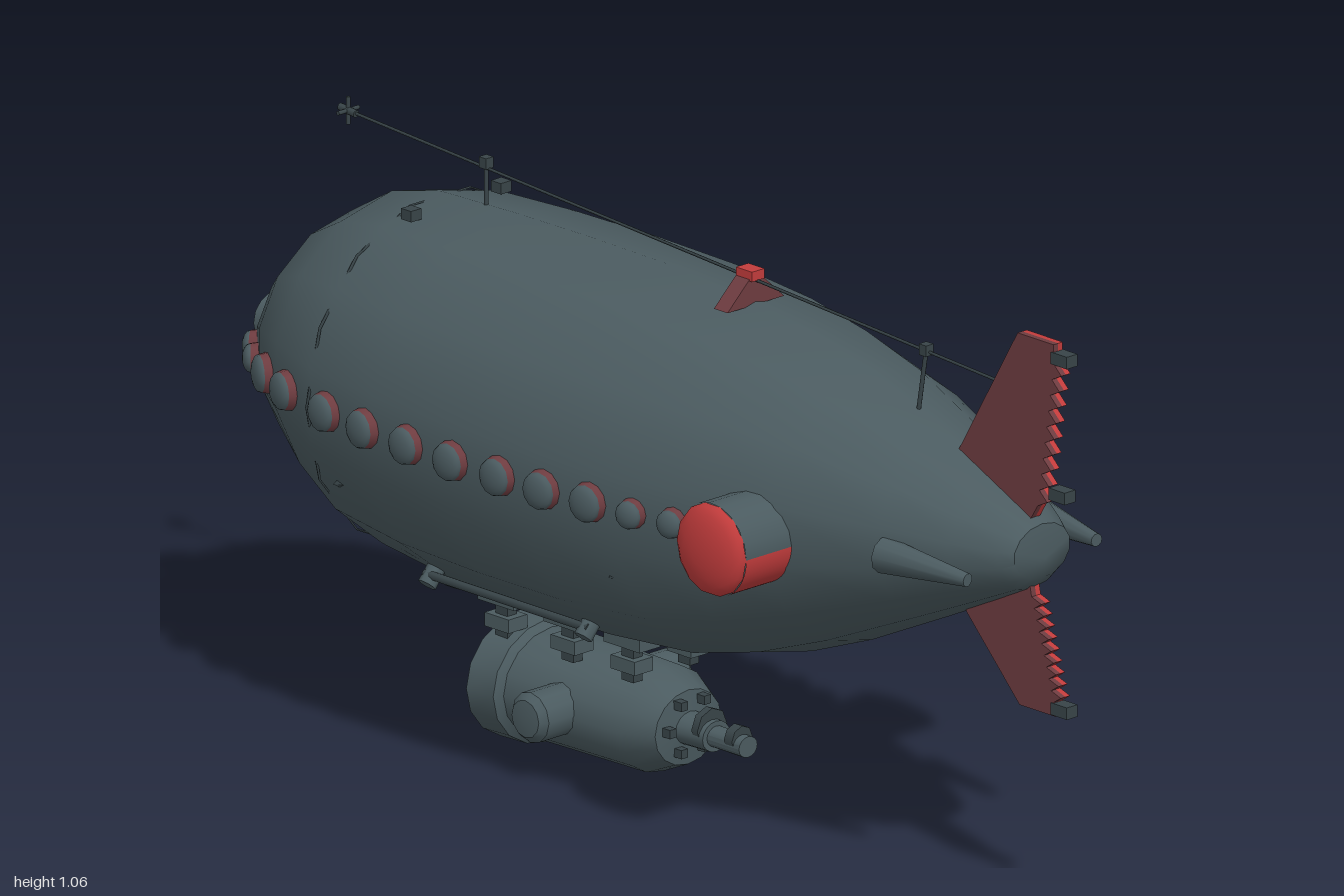
import * as THREE from 'three';
import { toCreasedNormals } from 'three/addons/utils/BufferGeometryUtils.js';

const mat = (name, color) => {
  const m = new THREE.MeshStandardMaterial({ color });
  m.name = name;
  return m;
};
const V = (x, y, z) => new THREE.Vector3(x, y, z);

// hull stations: x, top y, bottom y, half width
const STATIONS = [
  [-0.915, 0.68, 0.55, 0.07], [-0.9, 0.73, 0.52, 0.125], [-0.86, 0.79, 0.475, 0.175],
  [-0.8, 0.855, 0.43, 0.23], [-0.7, 0.915, 0.365, 0.285], [-0.58, 0.944, 0.3, 0.322],
  [-0.4, 0.95, 0.282, 0.345], [-0.2, 0.952, 0.278, 0.354], [0, 0.95, 0.278, 0.35],
  [0.2, 0.937, 0.292, 0.33], [0.35, 0.915, 0.33, 0.3], [0.5, 0.882, 0.388, 0.258],
  [0.7, 0.812, 0.482, 0.185], [0.82, 0.757, 0.54, 0.128], [0.9, 0.72, 0.58, 0.085],
  [0.925, 0.705, 0.605, 0.068],
];
const SIDES = 14;

// interpolated hull station at x
function hullAt(x) {
  let i = 0;
  while (i < STATIONS.length - 2 && STATIONS[i + 1][0] < x) i++;
  const a = STATIONS[i], b = STATIONS[i + 1];
  const t = (x - a[0]) / (b[0] - a[0]);
  const [, top, bottom, w] = a.map((v, k) => v + (b[k] - v) * t);
  return { top, bottom, w: w * 0.975, slope: (b[3] - a[3]) / (b[0] - a[0]) };
}

function hullGeometry() {
  const pos = [], idx = [];
  for (const [x, top, bottom, w] of STATIONS) {
    for (let j = 0; j < SIDES; j++) {
      const a = Math.PI / 2 + (j / SIDES) * Math.PI * 2;
      pos.push(x, (top + bottom) / 2 + Math.sin(a) * (top - bottom) / 2, Math.cos(a) * w);
    }
  }
  const last = STATIONS.length - 1;
  for (let i = 0; i < last; i++) {
    for (let j = 0; j < SIDES; j++) {
      const a = i * SIDES + j, b = i * SIDES + (j + 1) % SIDES;
      idx.push(a, a + SIDES, b, b, a + SIDES, b + SIDES);
    }
  }
  // end caps
  const nose = pos.length / 3;
  pos.push(-0.92, 0.615, 0, 0.935, 0.645, 0);
  for (let j = 0; j < SIDES; j++) {
    const k = (j + 1) % SIDES;
    idx.push(nose, j, k, nose + 1, last * SIDES + k, last * SIDES + j);
  }
  const g = new THREE.BufferGeometry();
  g.setAttribute('position', new THREE.Float32BufferAttribute(pos, 3));
  g.setIndex(idx);
  return toCreasedNormals(g, 0.8);
}

// lathe around the x axis; profile is [x, radius]
function latheX(profile, sides) {
  const g = new THREE.LatheGeometry(profile.map(([x, r]) => new THREE.Vector2(r, x)), sides);
  return toCreasedNormals(g.rotateZ(-Math.PI / 2), 0.6);
}

export function createModel() {
  const root = new THREE.Group();
  root.name = 'airship';
  const grey = mat('hull grey', 0x4b5b60);
  const dark = mat('dark metal', 0x384448);
  const red = mat('signal red', 0xc23c3c);
  const maroon = mat('dull red', 0x6e3c40);

  const add = (name, geo, m, x = 0, y = 0, z = 0, parent = root) => {
    const mesh = new THREE.Mesh(geo, m);
    mesh.name = name;
    mesh.position.set(x, y, z);
    parent.add(mesh);
    return mesh;
  };
  const rod = (name, a, b, r0, m = dark, r1 = r0, sides = 8) => {
    const d = b.clone().sub(a), mid = a.clone().add(b).multiplyScalar(0.5);
    const mesh = add(name, new THREE.CylinderGeometry(r1, r0, d.length(), sides), m, mid.x, mid.y, mid.z);
    mesh.quaternion.setFromUnitVectors(V(0, 1, 0), d.normalize());
    return mesh;
  };
  const box = (name, sx, sy, sz, x, y, z, m = dark) =>
    add(name, new THREE.BoxGeometry(sx, sy, sz), m, x, y, z);

  // hull and nose
  add('hull', hullGeometry(), grey);
  add('noseStub', latheX([[-1, 0], [-1, 0.035], [-0.998, 0.047], [-0.9, 0.047]], 14), grey, 0, 0.61, 0);
  rod('noseProbe', V(-0.9, 0.62, -0.21), V(-0.8, 0.62, -0.21), 0.005);

  // portholes along both sides
  const ports = [-0.87, -0.82, -0.75, -0.66, -0.53, -0.42, -0.305, -0.19, -0.075, 0.03, 0.135, 0.23, 0.315];
  const rim = new THREE.CylinderGeometry(0.036, 0.041, 0.024, 12, 1, true).rotateX(Math.PI / 2);
  const glass = new THREE.SphereGeometry(0.036, 12, 4, 0, Math.PI * 2, 0, Math.PI / 2).rotateX(Math.PI / 2);
  for (const side of [1, -1]) {
    for (const x of ports) {
      const h = hullAt(x), g = new THREE.Group();
      g.name = 'porthole';
      g.position.set(x, 0.628, side * h.w);
      const tilt = Math.atan(h.slope);
      g.rotation.y = side > 0 ? -tilt : Math.PI + tilt;
      const s = x > 0.2 || x < -0.8 ? 0.72 : 0.95;
      g.scale.set(s, s, 1);
      add('portholeRim', rim, maroon, 0, 0, 0.002, g);
      add('portholeGlass', glass, grey, 0, 0, 0.014, g).scale.z = 0.4;
      root.add(g);
    }

    // side engine pods
    const pod = new THREE.Group();
    pod.name = 'enginePod';
    pod.position.set(0.46, 0.625, 0);
    pod.scale.z = side;
    const shell = (name, m, start, len) => add(name,
      new THREE.CylinderGeometry(0.084, 0.084, 0.15, 14, 1, true, start, len).rotateX(Math.PI / 2),
      m, 0, 0, 0.27, pod);
    shell('podShell', grey, Math.PI / 2, Math.PI * 1.5);
    shell('podLowerShell', red, 0, Math.PI / 2);
    const cap = new THREE.SphereGeometry(0.084, 14, 5, 0, Math.PI * 2, 0, Math.PI / 2).rotateX(Math.PI / 2);
    add('podCap', cap, red, 0, 0, 0.345, pod).scale.z = 0.35;
    root.add(pod);

    // side tail cones
    rod('tailCone', V(0.71, 0.637, side * 0.175), V(0.9, 0.632, side * 0.155), 0.033, grey, 0.012, 10);

    // small hull fittings
    box('roofLug', 0.025, 0.02, 0.025, -0.54, hullAt(-0.54).top - 0.008, side * 0.108);
    for (const [x, y, z] of [[-0.52, 0.83, 0.232], [0.17, 0.89, 0.15], [-0.52, 0.49, 0.288], [0.17, 0.49, 0.29]])
      add('hullStud', new THREE.ConeGeometry(0.015, 0.025, 3).rotateZ(-Math.PI / 2), dark, x, y, side * z);

    // lower rail
    rod('lowerRail', V(-0.41, 0.333, side * 0.2), V(0, 0.333, side * 0.2), 0.008);
    for (const x of [-0.4, -0.01])
      rod('railMount', V(x, 0.315, side * 0.205), V(x, 0.35, side * 0.175), 0.017, grey);
    box('chinBlock', 0.04, 0.03, 0.03, -0.66, 0.365, side * 0.1, grey);
    rod('chinPost', V(-0.57, 0.285, side * 0.04), V(-0.57, 0.33, side * 0.04), 0.008);
  }

  // seam band
  const bandStation = hullAt(-0.58);
  const band = add('seamBand', new THREE.TorusGeometry(1, 0.006, 4, SIDES).rotateY(Math.PI / 2), dark,
    -0.58, (bandStation.top + bandStation.bottom) / 2, 0);
  band.scale.set(0.6, (bandStation.top - bandStation.bottom) / 2 - 0.002, 0.321);
  band.rotation.x = Math.PI / 2 - Math.PI / 2;

  // tail fins with toothed trailing edges
  const fin = (name, lead, a, b) => {
    const pts = lead.map(([x, y]) => new THREE.Vector2(x, y));
    const n = 9;
    for (let i = 0; i < n; i++) {
      const at = (t) => [a[0] + (b[0] - a[0]) * t, a[1] + (b[1] - a[1]) * t];
      const p = at(i / n), q = at((i + 0.6) / n);
      pts.push(new THREE.Vector2(...p), new THREE.Vector2(q[0] + 0.022, q[1]));
    }
    pts.push(new THREE.Vector2(...b));
    const geo = new THREE.ExtrudeGeometry(new THREE.Shape(pts), { depth: 0.011, bevelEnabled: false });
    add(name + 'FrontSkin', geo, maroon);
    add(name + 'BackSkin', geo, red, 0, 0, -0.011);
  };
  fin('upperFin', [[0.9, 0.7], [0.69, 0.74], [0.71, 0.765], [0.875, 1.045], [0.965, 1.045]], [0.965, 1.01], [0.925, 0.74]);
  fin('lowerFin', [[0.9, 0.62], [0.72, 0.54], [0.75, 0.5], [0.88, 0.365], [0.97, 0.365]], [0.965, 0.39], [0.91, 0.57]);
  for (const [x, y] of [[0.98, 1.02], [0.975, 0.77], [0.98, 0.378]])
    box('finTip', 0.04, 0.022, 0.026, x, y, 0);

  // aerial wire, masts and roof hatch
  rod('aerialWire', V(-0.81, 1.035, 0), V(0.81, 0.94, 0), 0.003, dark, 0.003, 5);
  rod('frontMast', V(-0.465, 0.94, 0), V(-0.465, 1.03, 0), 0.004);
  rod('rearMast', V(0.615, 0.83, 0), V(0.635, 0.95, 0), 0.004);
  for (const [x, y] of [[-0.465, 1.025], [0.635, 0.953]]) box('mastHead', 0.018, 0.02, 0.018, x, y, 0);
  rod('aerialCrossUpright', V(-0.81, 1.01, 0), V(-0.81, 1.06, 0), 0.004);
  rod('aerialCrossArm', V(-0.81, 1.035, -0.025), V(-0.81, 1.035, 0.025), 0.004);
  rod('aerialTip', V(-0.83, 1.037, 0), V(-0.79, 1.033, 0), 0.007);
  const gable = new THREE.Shape([[-0.068, 0], [0.068, 0], [0.012, 0.052], [-0.012, 0.052]].map(p => new THREE.Vector2(...p)));
  const gableGeo = new THREE.ExtrudeGeometry(gable, { depth: 0.034, bevelEnabled: false }).rotateY(Math.PI / 2);
  add('roofHatch', gableGeo, maroon, 0.175, 0.93, 0);
  box('roofHatchCap', 0.04, 0.018, 0.03, 0.195, 0.985, 0, red);

  // gondola
  const body = [[-0.385, 0], [-0.385, 0.1], [-0.375, 0.115], [-0.31, 0.113], [-0.3, 0.1], [-0.02, 0.095],
    [0.04, 0.068], [0.045, 0.03], [0.11, 0.028], [0.11, 0.019], [0.19, 0.019], [0.19, 0]];
  add('gondola', latheX(body, 16), grey, 0, 0.115, 0).scale.z = 1.17;
  add('gondolaNose', latheX([[-0.45, 0], [-0.45, 0.043], [-0.38, 0.043]], 12), grey, 0, 0.117, 0);
  rod('tailCollar', V(0.085, 0.128, 0), V(0.1, 0.128, 0), 0.036);
  rod('tailCollar', V(0.155, 0.125, 0), V(0.175, 0.125, 0), 0.025);
  for (let i = 0; i < 6; i++) {
    const a = (i / 6) * Math.PI * 2;
    box('rearLug', 0.03, 0.016, 0.016, 0.045, 0.12 + Math.sin(a) * 0.05, Math.cos(a) * 0.055);
  }
  const drum = [[-0.19, 0], [-0.185, 0.034], [-0.172, 0.046], [0.172, 0.046], [0.185, 0.034], [0.19, 0]];
  add('gondolaSideDrum', latheX(drum, 12).rotateY(Math.PI / 2), grey, -0.175, 0.12, 0);

  // gondola struts
  for (const z of [-0.068, 0.068]) {
    for (const x of [-0.345, -0.18, -0.03]) {
      box('strut', 0.03, 0.1, 0.022, x, 0.25, z);
      box('strutFoot', 0.06, 0.025, 0.045, x, 0.232, z, grey);
      box('strutHead', 0.09, 0.025, 0.05, x, 0.278, z, grey);
    }
  }
  rod('strutBrace', V(-0.35, 0.262, 0), V(-0.02, 0.262, 0), 0.012);

  // forward boom
  rod('forwardBoom', V(-0.61, 0.208, -0.06), V(-0.33, 0.2, -0.06), 0.007);
  rod('boomTip', V(-0.62, 0.208, -0.06), V(-0.595, 0.208, -0.06), 0.012);

  return root;
}
